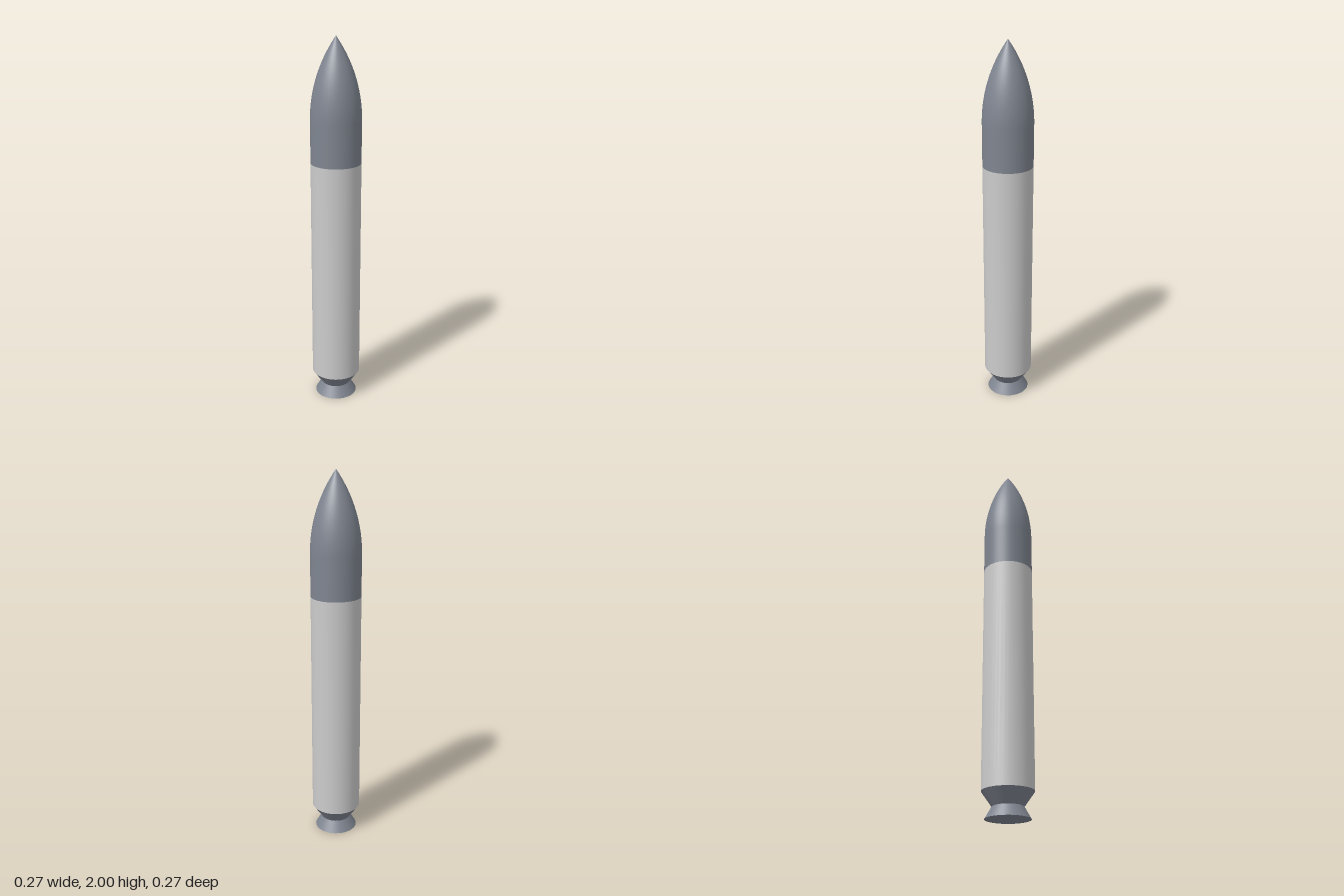
import * as THREE from 'three';

const SIDES = 40;
const RADIUS = 0.133;

export function createModel() {
  const rocket = new THREE.Group();
  rocket.name = 'rocket';
  const pale = new THREE.MeshStandardMaterial({ color: 0xcccccc });
  const dark = new THREE.MeshStandardMaterial({ color: 0x7f8590 });

  const add = (name, geometry, material, y = 0) => {
    const mesh = new THREE.Mesh(geometry, material);
    mesh.name = name;
    mesh.position.y = y;
    rocket.add(mesh);
  };

  // A closed round section between two heights
  const section = (name, y0, y1, r0, r1, material) =>
    add(name, new THREE.CylinderGeometry(r1, r0, y1 - y0, SIDES), material, (y0 + y1) / 2);

  section('engineNozzle', 0, 0.06, 0.115, 0.08, dark);
  section('tailCone', 0.06, 0.135, 0.08, RADIUS, dark);
  section('body', 0.135, 1.355, RADIUS, RADIUS, pale);

  // Nose: straight collar running smoothly into a pointed ogive
  const start = 1.58, length = 2 - start, steps = 20;
  const arc = (RADIUS ** 2 + length ** 2) / (2 * RADIUS);
  const profile = [new THREE.Vector2(RADIUS, 1.355)];
  for (let i = 0; i <= steps; i++) {
    const h = (length * i) / steps;
    const r = Math.sqrt(arc ** 2 - h ** 2) - (arc - RADIUS);
    profile.push(new THREE.Vector2(i === steps ? 0 : r, start + h));
  }
  add('noseFairing', new THREE.LatheGeometry(profile, SIDES), dark);

  return rocket;
}
